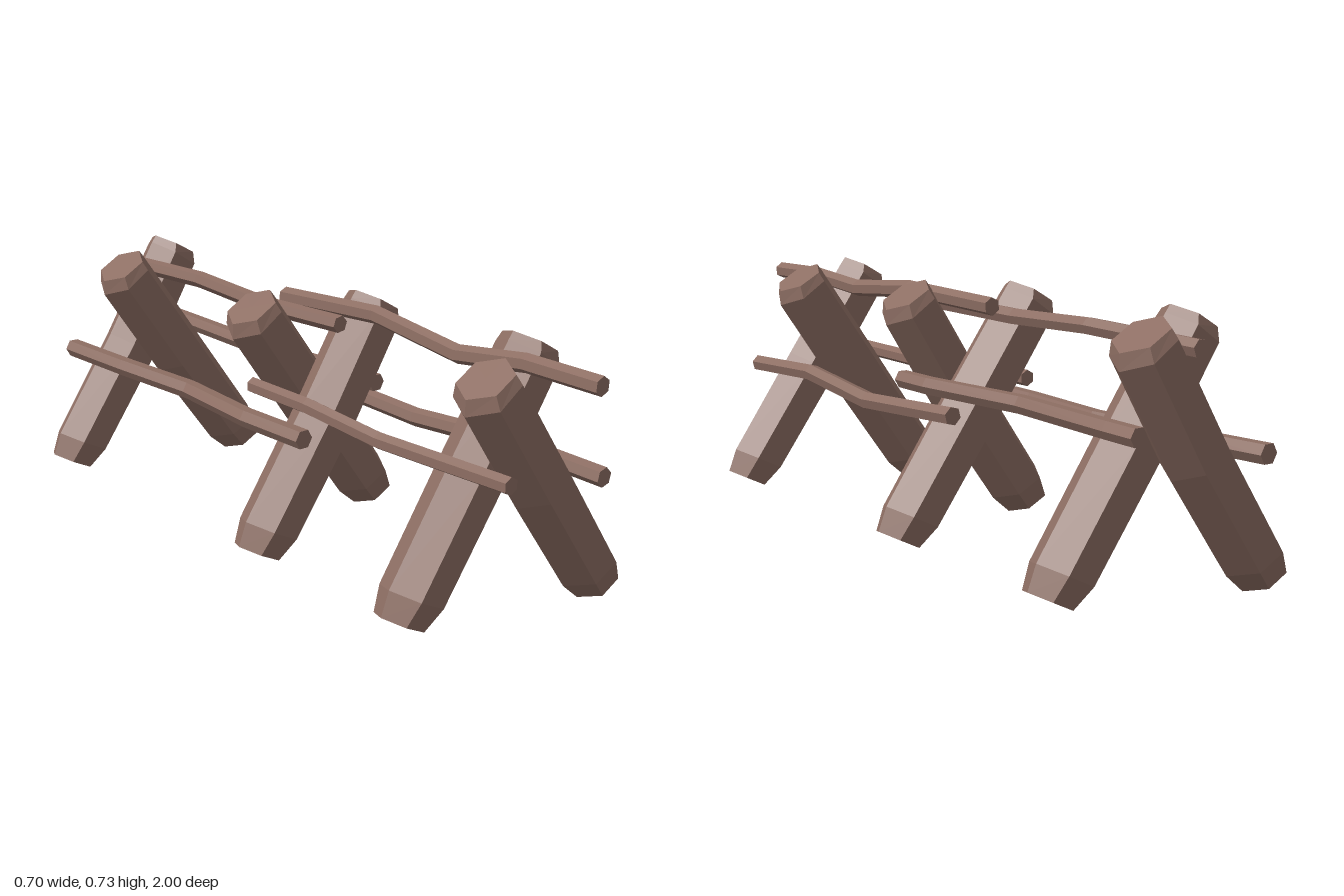
import * as THREE from 'three';

const wood = new THREE.MeshStandardMaterial({ color: 0x8d6e63, flatShading: true });
const SIDES = 6;

// Skins a closed six-sided beam through rings of { c: centre, r: radius, u, v: ring axes }
function beam(name, rings) {
  const pos = [];
  const corner = ({ c, r, u, v }, i) => {
    const a = (i / SIDES) * Math.PI * 2;
    return c.clone().addScaledVector(u, r * Math.cos(a)).addScaledVector(v, r * Math.sin(a));
  };
  const tri = (...pts) => pts.forEach((p) => pos.push(p.x, p.y, p.z));
  const first = rings[0], last = rings[rings.length - 1];
  for (let i = 0; i < SIDES; i++) {
    for (let k = 0; k < rings.length - 1; k++) {
      const a = corner(rings[k], i), b = corner(rings[k], i + 1);
      const c = corner(rings[k + 1], i + 1), d = corner(rings[k + 1], i);
      tri(a, b, c);
      tri(a, c, d);
    }
    tri(first.c, corner(first, i + 1), corner(first, i));
    tri(last.c, corner(last, i), corner(last, i + 1));
  }
  const geo = new THREE.BufferGeometry();
  geo.setAttribute('position', new THREE.Float32BufferAttribute(pos, 3));
  geo.computeVertexNormals();
  const mesh = new THREE.Mesh(geo, wood);
  mesh.name = name;
  return mesh;
}

// Leaning post, top to bottom: x, y, radius, tilt of the cut in degrees
const POST = [
  [-0.165, 0.692, 0.077, 30],
  [-0.157, 0.66, 0.09, 34],
  [0.04, 0.378, 0.092, 35],
  [0.243, 0.093, 0.089, 27],
  [0.286, 0.034, 0.07, 27],
];

function post(name, side, z, topShift) {
  return beam(name, POST.map(([x, y, r, tilt], k) => {
    const t = THREE.MathUtils.degToRad(tilt) * side;
    return {
      c: new THREE.Vector3(side * (x + (k < 2 ? topShift : 0)), y, z),
      r,
      u: new THREE.Vector3(Math.cos(t), Math.sin(t), 0),
      v: new THREE.Vector3(0, 0, 1),
    };
  }));
}

// Crooked rail along z, given as back-to-front points
function rail(name, points, radius, turn) {
  const t = THREE.MathUtils.degToRad(turn);
  const u = new THREE.Vector3(Math.cos(t), Math.sin(t), 0);
  const v = new THREE.Vector3(-Math.sin(t), Math.cos(t), 0);
  return beam(name, points.map((p) => ({ c: new THREE.Vector3(...p), r: radius, u, v })));
}

export function createModel() {
  const group = new THREE.Group();
  group.name = 'fence';

  // Three pairs of crossed posts: side +1 has its foot at +x
  [
    ['frontPostA', 1, 0.805, 0],
    ['frontPostB', -1, 0.65, 0],
    ['middlePostA', -1, 0.07, 0.017],
    ['middlePostB', 1, -0.088, -0.004],
    ['backPostA', 1, -0.75, 0.002],
    ['backPostB', -1, -0.907, 0.022],
  ].forEach((p) => group.add(post(...p)));

  // Top rails resting in the crotches
  group.add(rail('topRailFront',
    [[0.03, 0.675, -0.18], [0.045, 0.69, 0.2], [0.015, 0.66, 0.54], [0.03, 0.683, 0.76], [0.03, 0.68, 1]], 0.026, 25));
  group.add(rail('topRailBack',
    [[-0.01, 0.65, -0.95], [-0.005, 0.66, -0.55], [-0.02, 0.648, -0.22], [-0.012, 0.655, 0.11]], 0.025, 10));

  // Side rails on the +x side
  group.add(rail('leftRailFront',
    [[0.177, 0.388, -0.2], [0.185, 0.368, 0.22], [0.165, 0.4, 0.58], [0.173, 0.388, 0.91]], 0.027, 15));
  group.add(rail('leftRailBack',
    [[0.145, 0.448, -0.91], [0.14, 0.448, -0.8], [0.118, 0.45, -0.43], [0.15, 0.448, -0.05], [0.148, 0.448, 0.09]], 0.027, 0));

  // Side rails on the -x side
  group.add(rail('rightRailFront',
    [[-0.142, 0.45, -0.12], [-0.147, 0.45, 0.13], [-0.147, 0.428, 0.42], [-0.142, 0.435, 0.88]], 0.024, 30));
  group.add(rail('rightRailBack',
    [[-0.2, 0.38, -1], [-0.185, 0.375, -0.72], [-0.163, 0.372, -0.4], [-0.195, 0.372, -0.08], [-0.195, 0.374, 0.17]], 0.029, 0));

  return group;
}
